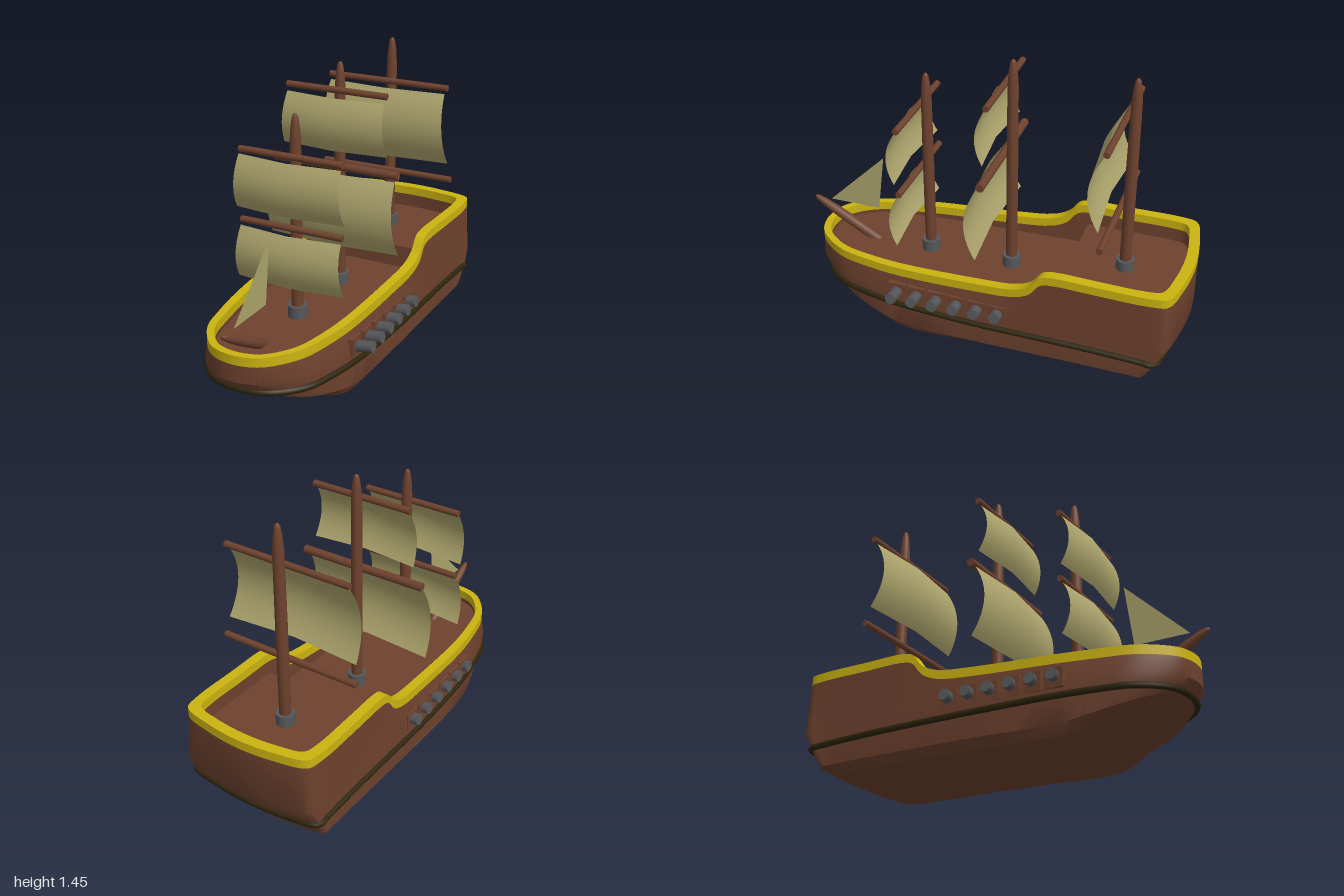
import * as THREE from 'three';
import { toCreasedNormals } from 'three/addons/utils/BufferGeometryUtils.js';

const mat = (name, color, side = THREE.FrontSide) => {
  const m = new THREE.MeshStandardMaterial({ color, side });
  m.name = name;
  return m;
};

// Half outlines from bow to stern: rail as [x, y, z], bottom as [x, z]
const RAIL = [[0, .365, .935], [.11, .365, .91], [.18, .365, .85], [.25, .365, .74], [.285, .365, .6],
  [.315, .37, .4], [.335, .39, 0], [.345, .412, -.2], [.35, .45, -.28], [.35, .515, -.335], [.352, .53, -.39],
  [.355, .53, -.6], [.355, .53, -.86], [.335, .53, -.94], [.2, .53, -.98], [0, .53, -1]];
const BOTTOM = [[0, .88], [.06, .835], [.1, .79], [.17, .69], [.23, .59], [.295, .43], [.305, 0], [.305, -.2],
  [.305, -.28], [.305, -.335], [.305, -.39], [.305, -.6], [.3, -.72], [.27, -.78], [.15, -.8], [0, -.81]];

// Mirrors a half outline into a smooth closed curve
function closedCurve(half) {
  const pts = half.map(p => new THREE.Vector3(...p));
  const other = half.slice(1, -1).reverse().map(p => new THREE.Vector3(-p[0], p[1], p[2]));
  return new THREE.CatmullRomCurve3([...pts, ...other], true);
}
const sample = half => {
  const curve = closedCurve(half);
  return Array.from({ length: 120 }, (_, i) => curve.getPoint(i / 120));
};

// Skins a stack of equally sampled closed rings
function loft(rings, crease = 0.6) {
  const n = rings[0].length, idx = [];
  for (let r = 0; r < rings.length - 1; r++) {
    for (let i = 0; i < n; i++) {
      const j = (i + 1) % n, a = r * n + i, b = a + n, c = r * n + j, d = c + n;
      idx.push(a, b, c, c, b, d);
    }
  }
  const g = new THREE.BufferGeometry().setFromPoints(rings.flat());
  g.setIndex(idx);
  return toCreasedNormals(g, crease);
}

// Horizontal slab from a ring of points
function slab(points, y0, y1) {
  const shape = new THREE.Shape(points.map(p => new THREE.Vector2(p.x * 1.02, -p.z * 1.005)));
  const g = new THREE.ExtrudeGeometry(shape, { depth: y1 - y0, bevelEnabled: false });
  return g.rotateX(-Math.PI / 2).translate(0, y0, 0);
}

// Tapered, round-tipped pole standing on the origin
function pole(height, radius) {
  const profile = [[0, 0], [radius, 0], [radius, height * .5], [radius * .93, height - .13],
    [radius * .75, height - .06], [radius * .5, height - .015], [radius * .25, height - .003], [0, height]];
  return new THREE.LatheGeometry(profile.map(p => new THREE.Vector2(...p)), 20);
}

// Square sail with a centre fold and a forward billow
function sail(top, bottom, wTop, wBottom, z0, bulge) {
  const g = new THREE.PlaneGeometry(2, 1, 2, 14), p = g.attributes.position;
  for (let i = 0; i < p.count; i++) {
    const u = p.getX(i), t = .5 - p.getY(i);
    p.setXYZ(i, u * (wTop + (wBottom - wTop) * t), top + (bottom - top) * t,
      z0 + .028 * (1 - Math.abs(u)) + bulge * (1 - (2 * t - 1) ** 2));
  }
  return toCreasedNormals(g, .5);
}

export function createModel() {
  const wood = mat('brown wood', 0x6e422e);
  const gold = mat('yellow trim', 0xccb410);
  const dark = mat('dark wale', 0x2e240d);
  const iron = mat('grey iron', 0x55575a);
  const cloth = mat('sail cloth', 0xaca46c, THREE.DoubleSide);

  const model = new THREE.Group();
  model.name = 'sailingShip';
  const ship = new THREE.Group();
  ship.name = 'ship';
  ship.position.x = -.017;
  model.add(ship);
  const add = (name, geo, material, parent = ship) => {
    const m = new THREE.Mesh(geo, material);
    m.name = name;
    parent.add(m);
    return m;
  };

  // Hull rings, all derived from the rail and bottom outlines
  const pull = (z, k) => z * (1 - k * z ** 4);
  const railDrop = .045;
  const inner = RAIL.map(([x, y, z]) => [x * .86, y, pull(z, .053)]);
  const lower = half => half.map(([x, y, z]) => [x, y - railDrop, z]);
  const belly = RAIL.map(([x, , z]) => [Math.min(.355, x * 1.06), .235, z]);
  const wale = RAIL.map(([x, , z]) => [Math.min(.357, x * 1.06), z > 0 ? .165 + .02 * z * z : .165 - .02 * z ** 4, pull(z, .056)]);
  const keelY = z => z > .43 ? .18 * ((z - .43) / .45) ** 1.25 : .018 * Math.min(1, (.43 - z) / 1.2);
  const bottom = BOTTOM.map(([x, z]) => [x, keelY(z), z]);
  const mix = (a, b, t) => a + (b - a) * t;
  const chine = bottom.map((p, i) => [mix(p[0], wale[i][0], .85), mix(p[1], wale[i][1], .25), mix(p[2], wale[i][2], .55)]);
  const floorRing = sample(bottom);
  add('hull', loft([
    sample(inner.map(([x, , z]) => [x, .29, z])), sample(lower(inner)), sample(lower(RAIL)),
    sample(belly), sample(wale), sample(chine), floorRing,
    floorRing.map(p => new THREE.Vector3(0, p.y, p.z))]), wood);
  add('rail', loft([sample(lower(inner)), sample(inner), sample(RAIL), sample(lower(RAIL))]), gold);
  add('wale', new THREE.TubeGeometry(closedCurve(wale), 160, .016, 8, true), dark);

  // Decks
  const innerRing = sample(inner);
  add('mainDeck', slab(innerRing, .28, .3), wood);
  add('sternDeck', slab(innerRing.filter(p => p.z < -.375), .29, .415), wood);

  // Masts with iron collars
  const masts = [['foreMast', .355, .29, 1.3], ['mainMast', -.08, .29, 1.44], ['mizzenMast', -.66, .4, 1.44]];
  for (const [name, z, y0, y1] of masts) {
    add(name, pole(y1 - y0, .028), wood).position.set(0, y0, z);
    add(name + 'Collar', new THREE.CylinderGeometry(.045, .045, .06, 20), iron).position.set(0, y0 + .04, z);
  }

  // Bowsprit
  const sprit = add('bowsprit', pole(.41, .026), wood);
  sprit.position.set(0, .28, .645);
  sprit.rotation.x = Math.PI / 2 - Math.atan2(.2, .35);

  // Yards: height, z, half length, radius
  const yards = [[1.11, .405, .265, .016], [.765, .405, .265, .016], [1.31, -.04, .265, .016],
    [.935, -.033, .333, .021], [1.222, -.613, .333, .016], [.74, -.613, .366, .016]];
  for (const [y, z, half, r] of yards) {
    const yard = add('yard', new THREE.CylinderGeometry(r, r, half * 2, 16), wood);
    yard.rotation.z = Math.PI / 2;
    yard.position.set(0, y, z);
  }

  // Square sails
  add('foreTopSail', sail(1.09, .83, .263, .28, .418, .04), cloth);
  add('foreSail', sail(.74, .48, .263, .28, .418, .04), cloth);
  add('mainTopSail', sail(1.28, 1.02, .258, .278, -.025, .04), cloth);
  add('mainSail', sail(.91, .54, .325, .35, -.012, .06), cloth);
  add('mizzenSail', sail(1.195, .83, .323, .352, -.598, .06), cloth);

  // Triangular head sail
  const jib = new THREE.BufferGeometry().setFromPoints([
    new THREE.Vector3(0, .785, .6), new THREE.Vector3(0, .48, .64), new THREE.Vector3(0, .48, .91)]);
  jib.computeVertexNormals();
  add('jib', jib, cloth);

  // Cannons and gun ports on both sides
  for (const side of [-1, 1]) {
    for (let i = 0; i < 6; i++) {
      const z = .405 - i * .106, t = i / 5;
      const tip = side < 0 ? mix(.385, .412, t) : mix(.41, .388, t);
      const gun = add('cannon', new THREE.CylinderGeometry(.028, .028, .14, 16), iron, model);
      gun.position.set(side * (tip - .07), .25, z);
      gun.rotation.z = -side * (Math.PI / 2 - .15);
      const port = add('gunPort', new THREE.BoxGeometry(.03, .092, .092), wood);
      port.position.set(side * mix(.328, .343, t), .248, z);
      port.rotation.y = side * mix(-.06, 0, t) * -1;
    }
  }
  return model;
}
